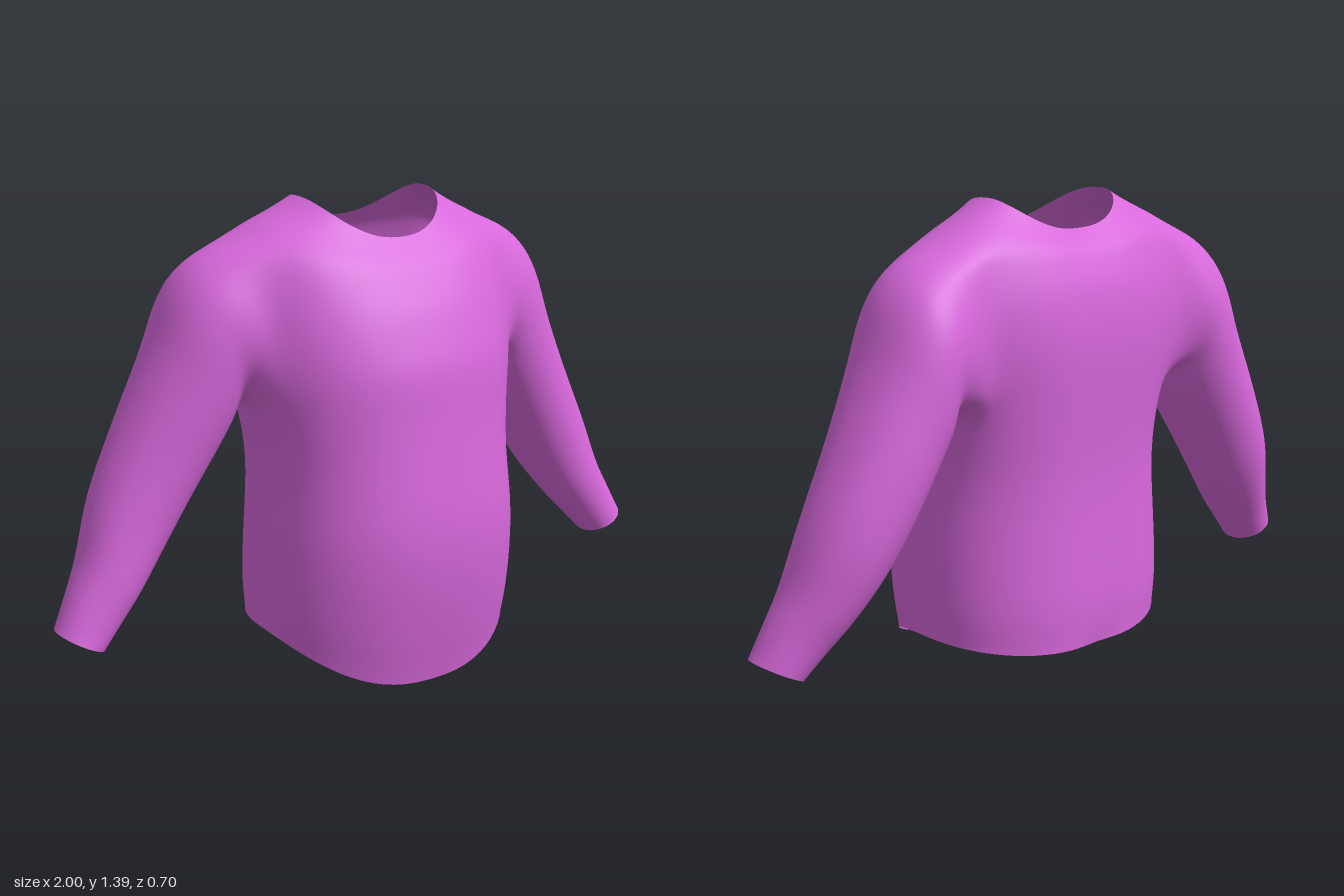
import * as THREE from 'three';
import { mergeVertices } from 'three/addons/utils/BufferGeometryUtils.js';

const COLS = 72, ROW_STEPS = 4, SLEEVE_STEPS = 6;

// Torso rings, hem to neck: half width, z front / side / back, y front / side / back
const RINGS = [
  [0.40, 0.285, -0.02, -0.34, 0.00, 0.15, 0.115],
  [0.41, 0.32, -0.02, -0.35, 0.15, 0.25, 0.23],
  [0.40, 0.36, -0.02, -0.34, 0.42, 0.45, 0.43],
  [0.385, 0.335, -0.03, -0.335, 0.64, 0.62, 0.62],
  [0.40, 0.315, -0.05, -0.345, 0.80, 0.76, 0.80],
  [0.42, 0.305, -0.08, -0.355, 0.92, 0.86, 0.95],
  [0.44, 0.28, -0.11, -0.352, 1.00, 0.98, 1.06],
  [0.44, 0.245, -0.13, -0.337, 1.09, 1.10, 1.15],
  [0.42, 0.21, -0.13, -0.315, 1.15, 1.22, 1.21],
  [0.38, 0.18, -0.13, -0.295, 1.20, 1.30, 1.25],
  [0.30, 0.145, -0.12, -0.27, 1.24, 1.34, 1.275],
  [0.215, 0.11, -0.10, -0.24, 1.28, 1.388, 1.30],
];

// Sleeve sections, shoulder to cuff: outer x, y, inner x, y, z front / back
const SECTIONS = [
  [0.52, 1.24, 0.43, 0.82, 0.07, -0.315],
  [0.60, 1.15, 0.455, 0.755, 0.06, -0.325],
  [0.66, 1.00, 0.50, 0.68, 0.045, -0.32],
  [0.755, 0.80, 0.575, 0.56, 0.02, -0.31],
  [0.85, 0.60, 0.66, 0.43, 0.005, -0.285],
  [0.905, 0.44, 0.745, 0.32, 0.005, -0.24],
  [0.95, 0.35, 0.81, 0.245, 0.0, -0.20],
  [1.00, 0.25, 0.87, 0.18, 0.0, -0.17],
];

// Armhole: grid columns (from the front centre round the left side) and rows
const HOLE = { c0: 12, c1: 26, r0: 18, r1: 36 };

const softPow = (v) => Math.sign(v) * Math.abs(v) ** 0.85;

const curveThrough = (points) => new THREE.CatmullRomCurve3(points, false, 'catmullrom', 0.5);

function ringPoint([w, zf, zs, zb, yf, ys, yb], a) {
  const s = Math.sin(a), c = Math.cos(a), front = c > 0;
  const x = w * softPow(s);
  let z = zs + Math.abs(softPow(c)) * ((front ? zf : zb) - zs);
  if (!front) z += 0.012 * Math.exp(-((x / 0.08) ** 2)); // hollow along the spine
  return new THREE.Vector3(x, ys + ((front ? yf : yb) - ys) * c * c, z);
}

function sectionPoint([xo, yo, xi, yi, zf, zb], cos, sin, side) {
  return new THREE.Vector3(
    side * ((xo + xi) / 2 + cos * (xo - xi) / 2),
    (yo + yi) / 2 + cos * (yo - yi) / 2,
    (zf + zb) / 2 + sin * (zf - zb) / 2);
}

// Relaxes the surface, leaving the open edges in place
function relax(points, indices, pinned, passes) {
  const near = points.map(() => new Set());
  for (let i = 0; i < indices.length; i += 3) {
    for (let k = 0; k < 3; k++) {
      const a = indices[i + k], b = indices[i + (k + 1) % 3];
      near[a].add(b);
      near[b].add(a);
    }
  }
  for (let p = 0; p < passes; p++) {
    const old = points.map((v) => v.clone());
    points.forEach((v, i) => {
      if (pinned.has(i) || near[i].size === 0) return;
      const mean = new THREE.Vector3();
      near[i].forEach((n) => mean.add(old[n]));
      v.lerp(mean.divideScalar(near[i].size), 0.5);
    });
  }
}

export function createModel() {
  const points = [], pinned = new Set();
  const parts = { torso: [], leftSleeve: [], rightSleeve: [] };
  const quad = (list, a, b, c, d) => list.push(a, b, c, a, c, d);

  // Torso grid
  const rows = (RINGS.length - 1) * ROW_STEPS;
  const id = (c, r) => r * COLS + (c % COLS);
  for (let c = 0; c < COLS; c++) {
    const a = (c / COLS) * Math.PI * 2;
    const curve = curveThrough(RINGS.map((ring) => ringPoint(ring, a)));
    for (let r = 0; r <= rows; r++) points[id(c, r)] = curve.getPoint(r / rows);
    pinned.add(id(c, 0)).add(id(c, rows));
  }
  const inHole = (c, r) => r >= HOLE.r0 && r < HOLE.r1 &&
    ((c >= HOLE.c0 && c < HOLE.c1) || (c >= COLS - HOLE.c1 && c < COLS - HOLE.c0));
  for (let r = 0; r < rows; r++) {
    for (let c = 0; c < COLS; c++) {
      if (!inHole(c, r)) quad(parts.torso, id(c, r), id(c + 1, r), id(c + 1, r + 1), id(c, r + 1));
    }
  }

  // Sleeves grow out of the armhole edges
  for (const side of [1, -1]) {
    const list = side > 0 ? parts.leftSleeve : parts.rightSleeve;
    const c0 = side > 0 ? HOLE.c0 : COLS - HOLE.c1;
    const c1 = side > 0 ? HOLE.c1 : COLS - HOLE.c0;
    const loop = [];
    for (let c = c0; c < c1; c++) loop.push(id(c, HOLE.r0));
    for (let r = HOLE.r0; r < HOLE.r1; r++) loop.push(id(c1, r));
    for (let c = c1; c > c0; c--) loop.push(id(c, HOLE.r1));
    for (let r = HOLE.r1; r > HOLE.r0; r--) loop.push(id(c0, r));

    const box = new THREE.Box3().setFromPoints(loop.map((i) => points[i]));
    const mid = box.getCenter(new THREE.Vector3()), size = box.getSize(new THREE.Vector3());
    const steps = SECTIONS.length * SLEEVE_STEPS;
    const strips = loop.map((start) => {
      const p = points[start];
      const t = Math.atan2((p.z - mid.z) / size.z, (p.y - mid.y) / size.y);
      const curve = curveThrough([p.clone(),
        ...SECTIONS.map((s) => sectionPoint(s, Math.cos(t), Math.sin(t), side))]);
      const strip = [start];
      for (let k = 1; k <= steps; k++) strip.push(points.push(curve.getPoint(k / steps)) - 1);
      pinned.add(strip[steps]);
      return strip;
    });
    strips.forEach((s, i) => {
      const n = strips[(i + 1) % strips.length];
      for (let k = 0; k < steps; k++) quad(list, s[k], n[k], n[k + 1], s[k + 1]);
    });
  }

  // Shared smooth normals, so the seams between the parts do not show
  const all = Object.values(parts).flat();
  relax(points, all, pinned, 6);
  const whole = new THREE.BufferGeometry().setFromPoints(points);
  whole.setIndex(all);
  whole.computeVertexNormals();

  const material = new THREE.MeshStandardMaterial({ color: 0xd868dc, side: THREE.DoubleSide });
  const group = new THREE.Group();
  group.name = 'longSleevedShirt';
  for (const [name, indices] of Object.entries(parts)) {
    whole.setIndex(indices);
    const mesh = new THREE.Mesh(mergeVertices(whole.toNonIndexed()), material);
    mesh.name = name;
    group.add(mesh);
  }
  return group;
}
